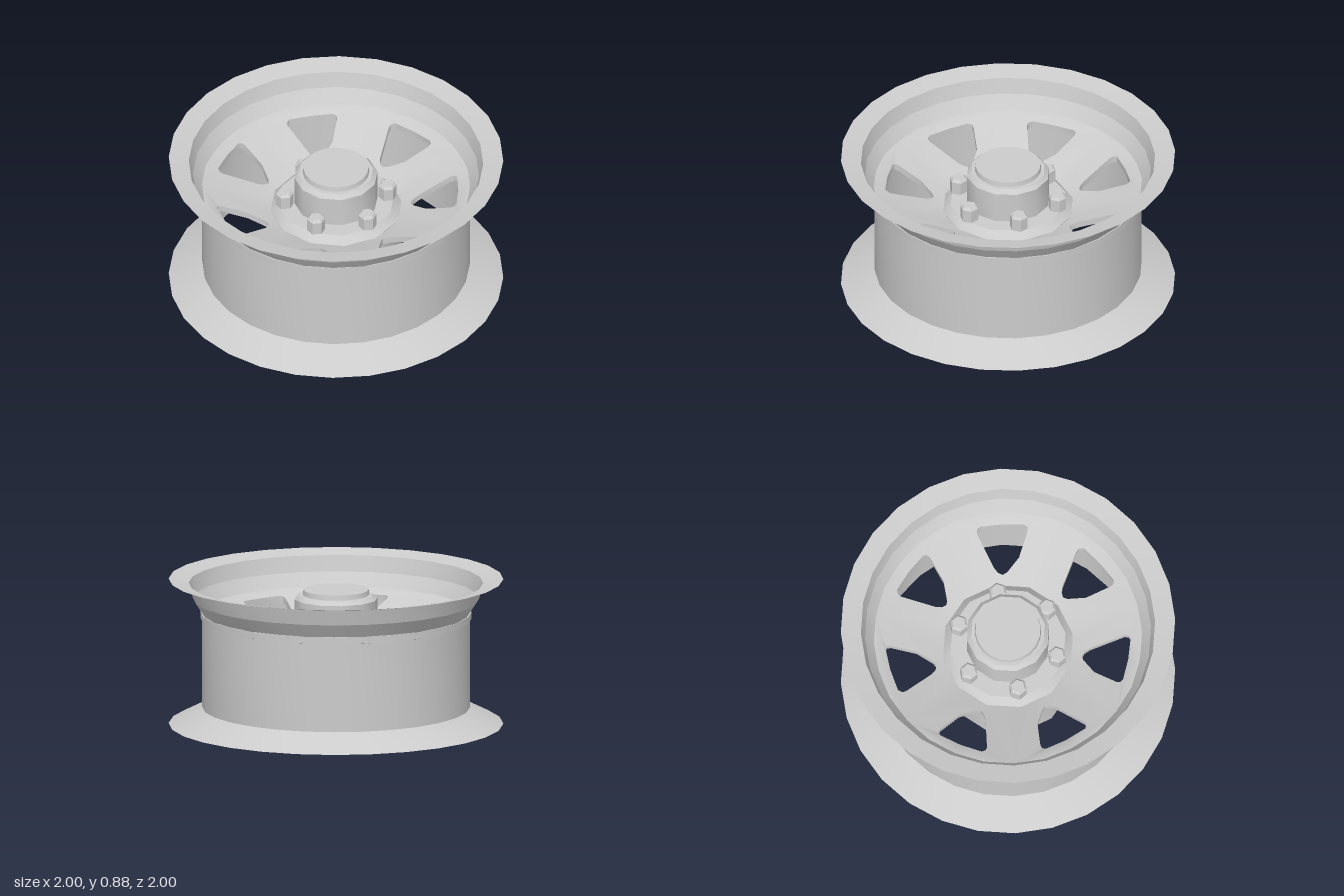
import * as THREE from 'three';
import { mergeGeometries, toCreasedNormals } from 'three/addons/utils/BufferGeometryUtils.js';

const SIDES = 28;
const WINDOWS = 7;
const LUGS = 6;

function lathe(name, profile, sides, crease, material) {
  const points = profile.map(([r, y]) => new THREE.Vector2(r, y));
  const mesh = new THREE.Mesh(toCreasedNormals(new THREE.LatheGeometry(points, sides), crease), material);
  mesh.name = name;
  return mesh;
}

// One sector of the wheel face with a single window, laid flat
function faceSector(inner, outer, thickness) {
  const step = (Math.PI * 2) / SIDES;
  const n = SIDES / WINDOWS;
  const arc = (r) => Array.from({ length: n + 1 }, (_, i) => {
    const a = (i - n / 2) * step;
    return new THREE.Vector2(r * Math.cos(a), r * Math.sin(a));
  });
  const shape = new THREE.Shape([...arc(outer), ...arc(inner).reverse()]);
  const window = [
    [0.447, -0.012], [0.46, -0.04], [0.49, -0.064], [0.68, -0.155], [0.70, -0.155], [0.72, -0.138],
    [0.73, 0], [0.722, 0.13], [0.708, 0.148], [0.685, 0.148], [0.54, 0.09], [0.46, 0.015],
  ];
  shape.holes.push(new THREE.Path(window.map(([x, z]) => new THREE.Vector2(x, -z))));
  const geometry = new THREE.ExtrudeGeometry(shape, { depth: thickness, bevelEnabled: false });
  return geometry.rotateX(-Math.PI / 2);
}

export function createModel() {
  const group = new THREE.Group();
  const solid = new THREE.MeshStandardMaterial({ color: 0xcccccc });
  const thin = new THREE.MeshStandardMaterial({ color: 0xcccccc, side: THREE.DoubleSide });

  // Barrel with a flange at each end
  group.add(lathe('barrel', [
    [1.0, 0.005], [0.8, 0.105], [0.8, 0.68], [0.855, 0.765], [0.88, 0.86], [1.0, 0.885],
  ], SIDES, 0.25, thin));

  // Dished face: flat sectors raised into a cone
  const sectors = [];
  for (let i = 0; i < WINDOWS; i++) {
    sectors.push(faceSector(0.37, 0.81, 0.04).rotateY((i * Math.PI * 2) / WINDOWS));
  }
  const face = mergeGeometries(sectors);
  const p = face.attributes.position;
  for (let i = 0; i < p.count; i++) {
    const r = Math.hypot(p.getX(i), p.getZ(i));
    p.setY(i, p.getY(i) + 0.64 + 0.37 * (r - 0.8));
  }
  const faceMesh = new THREE.Mesh(toCreasedNormals(face, 0.6), thin);
  faceMesh.name = 'windowedFace';
  group.add(faceMesh);

  // Hub, from the blind bore underneath up to the bolt plate
  group.add(lathe('hub', [
    [0, 0.1], [0.185, 0.1], [0.185, 0], [0.31, 0], [0.395, 0.085],
    [0.395, 0.53], [0.35, 0.575], [0, 0.575],
  ], 12, 0.6, thin));

  // Central boss and its cap
  group.add(lathe('centerBoss', [
    [0.25, 0.57], [0.25, 0.765], [0.225, 0.79], [0, 0.79],
  ], 12, 0.6, thin));
  group.add(lathe('centerCap', [
    [0.2, 0.785], [0.195, 0.82], [0, 0.82],
  ], 20, 0.6, thin));

  // Hexagonal lug nuts with chamfered tops
  const nut = mergeGeometries([
    new THREE.CylinderGeometry(0.055, 0.055, 0.08, 6).translate(0, 0.04, 0),
    new THREE.CylinderGeometry(0.04, 0.055, 0.015, 6).translate(0, 0.0875, 0),
  ]);
  const nutGeometry = toCreasedNormals(nut, 0.5);
  for (let i = 0; i < LUGS; i++) {
    const a = (i * Math.PI * 2) / LUGS;
    const lug = new THREE.Mesh(nutGeometry, solid);
    lug.name = 'lugNut' + (i + 1);
    lug.position.set(0.31 * Math.cos(a), 0.575, 0.31 * Math.sin(a));
    lug.rotation.y = Math.PI / 6;
    group.add(lug);
  }
  return group;
}
